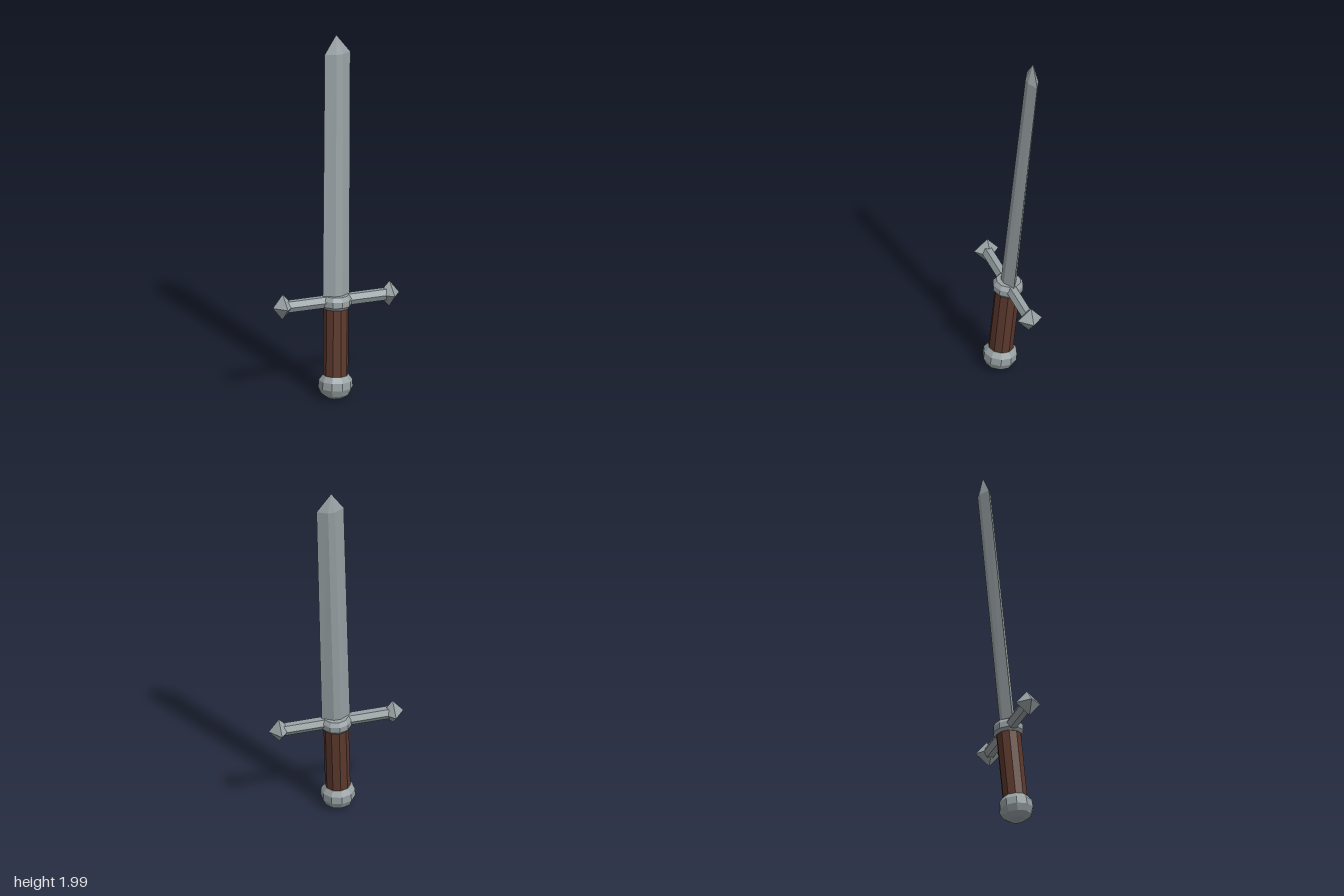
import * as THREE from 'three';

const steel = new THREE.MeshStandardMaterial({ color: 0x98a1a4, flatShading: true });
const leather = new THREE.MeshStandardMaterial({ color: 0x5c392d, flatShading: true });

function part(parent, name, geometry, material = steel) {
  const mesh = new THREE.Mesh(geometry, material);
  mesh.name = name;
  parent.add(mesh);
  return mesh;
}

// Turned solid from [radius, height] pairs, listed bottom to top
function turned(profile, sides) {
  return new THREE.LatheGeometry(profile.map(([r, y]) => new THREE.Vector2(r, y)), sides);
}

// Six-sided blade section: two edges, with a narrow flat on each face
function bladeSection(y, halfWidth, flat, thick) {
  return [
    [halfWidth, y, 0], [flat, y, -thick], [-flat, y, -thick],
    [-halfWidth, y, 0], [-flat, y, thick], [flat, y, thick],
  ];
}

function bladeGeometry() {
  const base = bladeSection(0.53, 0.077, 0.019, 0.036);
  const shoulder = bladeSection(1.905, 0.074, 0.019, 0.03);
  const tip = [-0.008, 2.007, 0];
  const pos = [];
  for (let i = 0; i < 6; i++) {
    const j = (i + 1) % 6;
    pos.push(...base[i], ...base[j], ...shoulder[j]);
    pos.push(...base[i], ...shoulder[j], ...shoulder[i]);
    pos.push(...shoulder[i], ...shoulder[j], ...tip);
    pos.push(...base[j], ...base[i], 0, 0.53, 0);
  }
  const geometry = new THREE.BufferGeometry();
  geometry.setAttribute('position', new THREE.Float32BufferAttribute(pos, 3));
  geometry.computeVertexNormals();
  return geometry;
}

export function createModel() {
  const model = new THREE.Group();
  model.name = 'sword';

  // The whole sword leans back and is turned about its own length
  const sword = new THREE.Group();
  sword.name = 'leaningSword';
  sword.position.z = 0.051;
  sword.rotation.set(-0.093, 0.49, 0);
  model.add(sword);

  part(sword, 'blade', bladeGeometry());

  // Handle
  part(sword, 'grip', new THREE.CylinderGeometry(0.067, 0.067, 0.41, 10).translate(0, 0.315, 0), leather);
  part(sword, 'pommel', turned([
    [0, 0.005], [0.045, 0.008], [0.076, 0.03], [0.092, 0.065],
    [0.09, 0.105], [0.068, 0.134], [0, 0.134],
  ], 10));

  // Guard: collar, crossbar and a pointed knob at each end
  part(sword, 'collar', turned([
    [0, 0.502], [0.07, 0.502], [0.082, 0.518], [0.082, 0.55], [0.066, 0.572], [0, 0.572],
  ], 10));
  const guard = new THREE.Group();
  guard.name = 'guard';
  guard.position.y = 0.541;
  sword.add(guard);
  part(guard, 'crossbar', new THREE.CylinderGeometry(0.034, 0.034, 0.57, 6).rotateZ(Math.PI / 2));
  for (const side of [1, -1]) {
    const knob = turned([[0, 0.276], [0.036, 0.276], [0.07, 0.309], [0, 0.366]], 4).rotateZ(-Math.PI / 2);
    part(guard, side > 0 ? 'leftKnob' : 'rightKnob', knob).rotation.y = side > 0 ? 0 : Math.PI;
  }
  return model;
}
